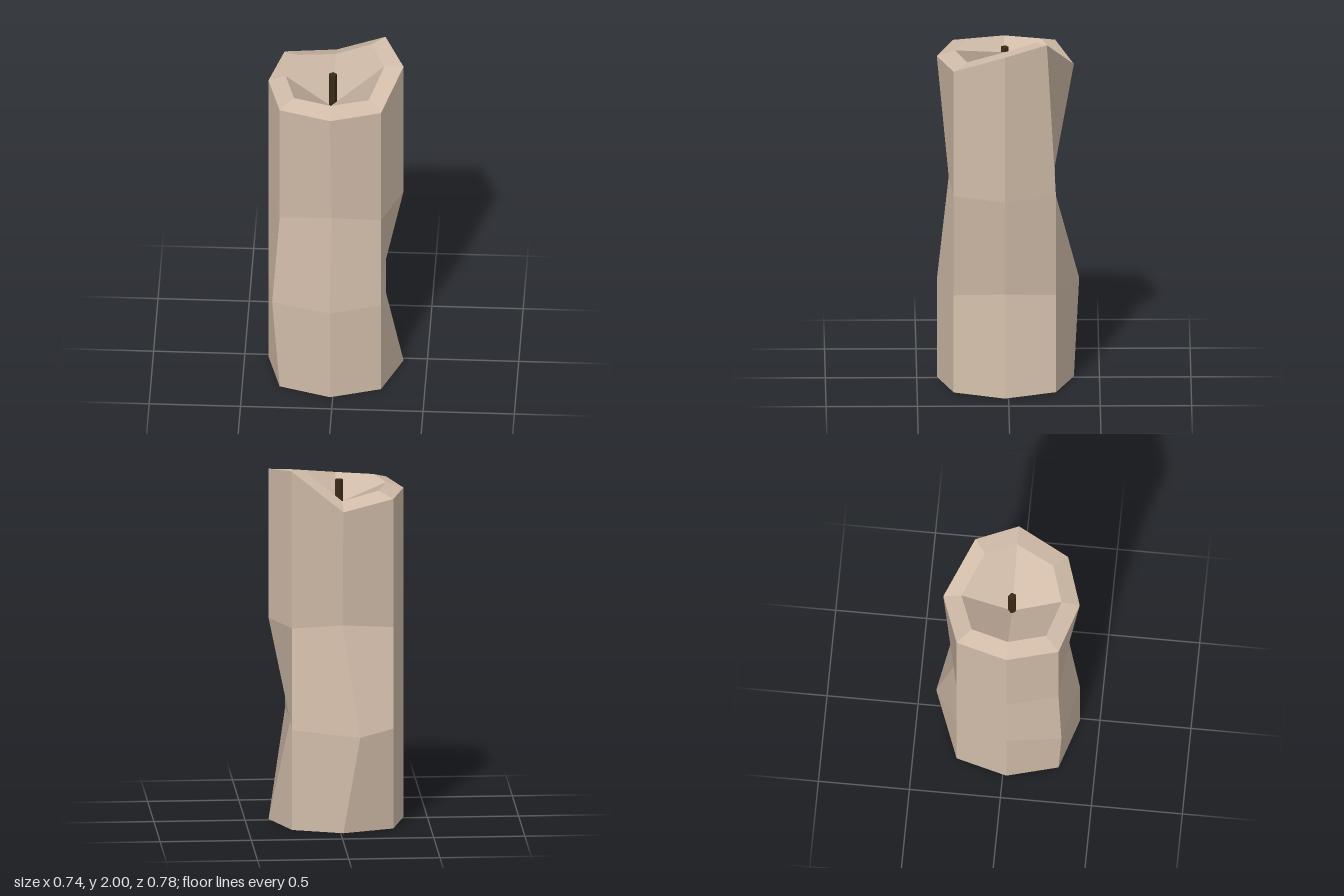
import * as THREE from 'three';

// Candle axis
const CX = -0.015, CZ = 0.02;

// Plain octagon, counter-clockwise from above, starting at +x
const OCTAGON = [
  [0.37, 0.02], [0.26, -0.26], [-0.015, -0.36], [-0.295, -0.26],
  [-0.37, 0.02], [-0.295, 0.30], [-0.015, 0.39], [0.26, 0.30],
];

// Octagon ring at height y, with single corners displaced
function ring(y, moved = {}) {
  return OCTAGON.map(([x, z], i) => new THREE.Vector3(...(moved[i] ?? [x, y, z])));
}

// Collects faceted polygons; each polygon gets one shared normal
class Facets {
  positions = [];
  normals = [];
  add(a, b, c, d = a) {
    const n = new THREE.Vector3().subVectors(c, a);
    n.cross(d === a ? new THREE.Vector3().subVectors(a, b).negate() : new THREE.Vector3().subVectors(d, b));
    if (d === a) n.negate();
    n.normalize();
    const corners = d === a ? [a, b, c] : [a, b, c, a, c, d];
    for (const p of corners) {
      this.positions.push(p.x, p.y, p.z);
      this.normals.push(n.x, n.y, n.z);
    }
  }
  // Band of quads between two rings
  band(lower, upper) {
    lower.forEach((p, i) => {
      const j = (i + 1) % lower.length;
      this.add(lower[j], upper[j], upper[i], p);
    });
  }
  mesh(name, color) {
    const g = new THREE.BufferGeometry();
    g.setAttribute('position', new THREE.Float32BufferAttribute(this.positions, 3));
    g.setAttribute('normal', new THREE.Float32BufferAttribute(this.normals, 3));
    const m = new THREE.Mesh(g, new THREE.MeshStandardMaterial({ color }));
    m.name = name;
    return m;
  }
}

export function createModel() {
  const group = new THREE.Group();
  group.name = 'candle';
  const wax = 0xd0bba8;

  const base = ring(0);
  const low = ring(0.56, { 0: [0.25, 0.56, 0.02], 2: [-0.105, 0.54, -0.39], 5: [-0.335, 0.575, 0.32] });
  const high = ring(1.13, { 2: [-0.02, 1.13, -0.20], 6: [-0.01, 1.155, 0.325] });
  const top = ring(1.848, { 0: [0.37, 1.965, 0.02], 1: [0.26, 2, -0.21], 2: [-0.015, 1.8, -0.36] });
  const lip = [
    [0.265, 1.962, 0.02], [0.187, 1.99, -0.15], [-0.015, 1.84, -0.26], [-0.22, 1.88, -0.185],
    [-0.275, 1.88, 0.02], [-0.22, 1.88, 0.225], [-0.015, 1.88, 0.29], [0.19, 1.88, 0.225],
  ].map((p) => new THREE.Vector3(...p));

  // Outer wall and underside
  const body = new Facets();
  body.band(base, low);
  body.band(low, high);
  body.band(high, top);
  const foot = new THREE.Vector3(CX, 0, CZ);
  base.forEach((p, i) => body.add(foot, base[(i + 1) % 8], p));
  group.add(body.mesh('waxBody', wax));

  // Sloped rim
  const rim = new Facets();
  rim.band(top, lip);
  group.add(rim.mesh('rim', wax));

  // Melted hollow: four folded facets meeting at the wick
  const hollow = new Facets();
  const pit = new THREE.Vector3(CX, 1.67, CZ);
  for (let i = 0; i < 8; i += 2) hollow.add(lip[i], lip[i + 1], lip[(i + 2) % 8], pit);
  group.add(hollow.mesh('meltedHollow', wax));

  // Five-sided wick
  const wick = new THREE.Mesh(
    new THREE.CylinderGeometry(0.023, 0.023, 0.26, 5, 1, false, Math.PI),
    new THREE.MeshStandardMaterial({ color: 0x3a2a16, flatShading: true }),
  );
  wick.name = 'wick';
  wick.position.set(CX - 0.002, 1.77, CZ);
  group.add(wick);

  return group;
}
